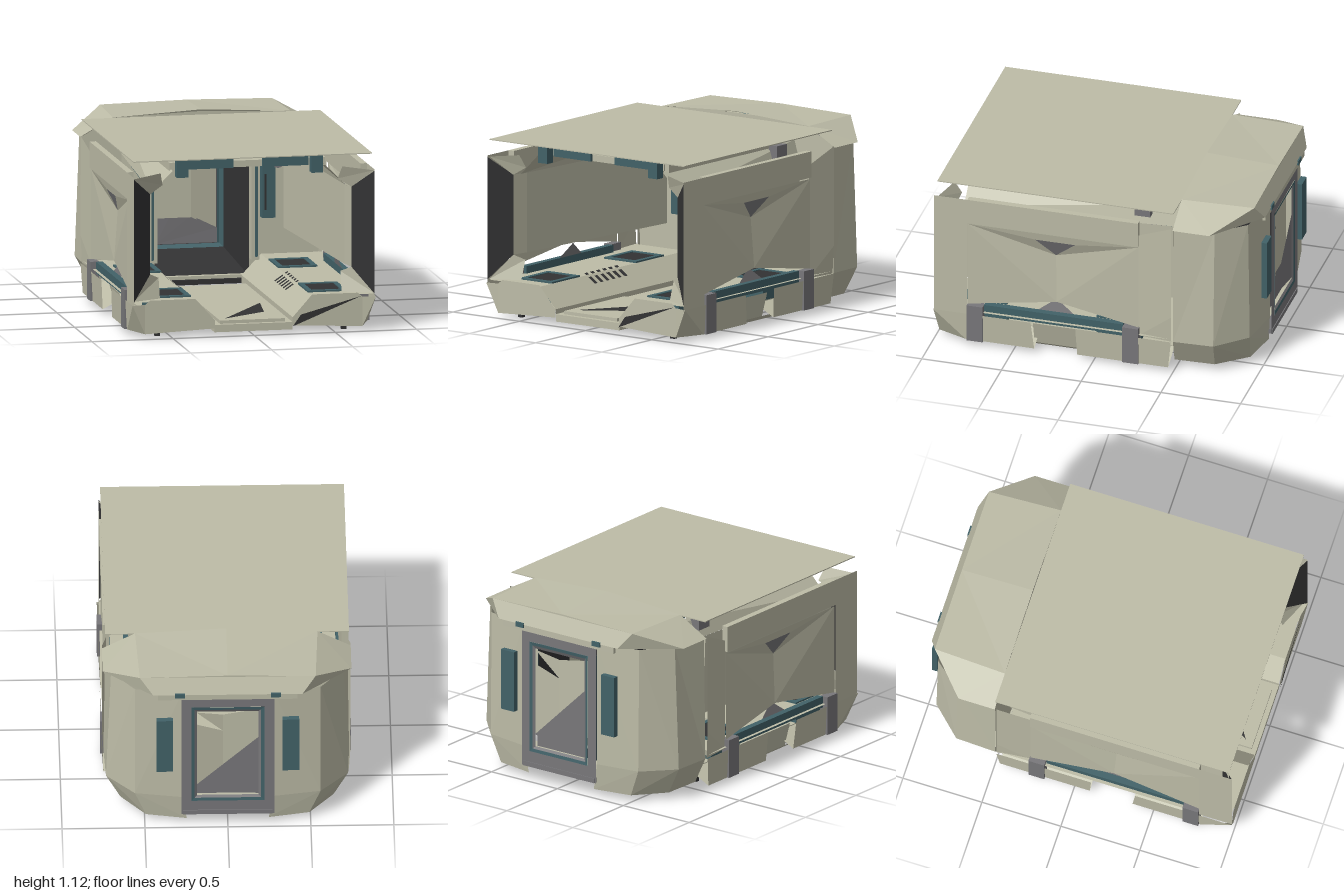
import * as THREE from 'three';

export function createModel() {
  const root = new THREE.Group();
  const paint = (name, color) => {
    const m = new THREE.MeshStandardMaterial({ color, side: THREE.DoubleSide, flatShading: true });
    m.name = name;
    return m;
  };
  const khaki = paint('khaki hull', 0xbdbca7);
  const grey = paint('grey metal', 0x78777a);
  const dark = paint('dark rubber', 0x323233);
  const teal = paint('teal trim', 0x426268);

  const add = (name, geo, mat) => {
    const mesh = new THREE.Mesh(geo, mat);
    mesh.name = name;
    root.add(mesh);
    return mesh;
  };
  const box = (name, mat, x0, x1, y0, y1, z0, z1) => {
    const m = add(name, new THREE.BoxGeometry(Math.abs(x1 - x0), y1 - y0, Math.abs(z1 - z0)), mat);
    m.position.set((x0 + x1) / 2, (y0 + y1) / 2, (z0 + z1) / 2);
    return m;
  };
  // Flat-shaded convex polygons, each split as a fan
  const facets = (name, mat, ...polys) => {
    const pos = [];
    for (const p of polys)
      for (let i = 1; i < p.length - 1; i++) pos.push(...p[0], ...p[i], ...p[i + 1]);
    const g = new THREE.BufferGeometry();
    g.setAttribute('position', new THREE.Float32BufferAttribute(pos, 3));
    g.computeVertexNormals();
    return add(name, g, mat);
  };
  // Strip joining two equally long rows of points
  const loft = (name, mat, a, b) =>
    facets(name, mat, ...a.slice(1).map((p, i) => [a[i], p, b[i + 1], b[i]]));
  // Ring between two rectangles [x0, x1, y0, y1, z]
  const ring = (name, mat, o, n) => {
    const c = ([x0, x1, y0, y1, z]) => [[x0, y0, z], [x1, y0, z], [x1, y1, z], [x0, y1, z], [x0, y0, z]];
    return loft(name, mat, c(o), c(n));
  };

  // Main roof and its beams
  box('roofPlate', khaki, -0.74, 0.73, 1.082, 1.088, -0.5, 0.98);
  box('roofSpine', khaki, -0.4, 0.4, 1.04, 1.07, -0.17, 0.65);
  for (const z of [-0.3, 0.1, 0.5, 0.78]) box('ceilingBeam', khaki, -0.45, 0.45, 1.0, 1.04, z - 0.03, z + 0.03);

  // Centre floor and front step
  box('floorPlank', khaki, -0.24, 0.24, 0.025, 0.07, -0.35, 0.98);
  box('floorStep', khaki, -0.2, 0.2, 0.07, 0.09, 0.35, 0.95);
  facets('stepInlay', dark, [[-0.16, 0.092, 0.9], [0.12, 0.092, 0.72], [0.16, 0.092, 0.42]]);

  // Ceiling console in front of the bulkhead
  facets('console', dark,
    [[-0.19, 0.97, -0.2], [0.19, 0.97, -0.2], [0.06, 0.79, -0.38], [-0.06, 0.79, -0.38]],
    [[-0.19, 0.97, -0.2], [-0.06, 0.79, -0.38], [-0.19, 0.97, -0.48]],
    [[0.19, 0.97, -0.2], [0.06, 0.79, -0.38], [0.19, 0.97, -0.48]]);
  box('consoleScreen', teal, -0.08, 0.08, 0.86, 0.95, -0.28, -0.2);

  // Rear door, passage and frames
  ring('passageFrame', dark, [-0.29, 0.29, 0.09, 0.93, -0.5], [-0.22, 0.22, 0.2, 0.87, -0.9]);
  ring('doorInnerTrim', teal, [-0.22, 0.22, 0.2, 0.87, -0.9], [-0.2, 0.2, 0.22, 0.85, -0.93]);
  ring('doorFrame', grey, [-0.28, 0.28, 0.09, 0.96, -0.985], [-0.22, 0.22, 0.19, 0.89, -0.985]);
  ring('doorTrim', teal, [-0.22, 0.22, 0.19, 0.89, -0.988], [-0.2, 0.2, 0.21, 0.87, -0.985]);
  ring('doorReveal', grey, [-0.2, 0.2, 0.21, 0.87, -0.985], [-0.185, 0.185, 0.225, 0.85, -0.975]);
  facets('doorLeaf', khaki,
    [[-0.19, 0.38, -0.94], [0.03, 0.38, -0.94], [0.03, 0.8, -0.94], [-0.19, 0.84, -0.94]],
    [[0.03, 0.38, -0.94], [0.19, 0.3, -0.97], [0.19, 0.75, -0.97], [0.03, 0.68, -0.94]],
    [[0.03, 0.68, -0.94], [0.19, 0.84, -0.97], [0.03, 0.8, -0.94]]);
  facets('doorFoot', grey,
    [[-0.19, 0.22, -0.95], [0.19, 0.22, -0.95], [0.19, 0.31, -0.95], [0.03, 0.39, -0.945], [-0.1, 0.39, -0.945]]);
  facets('doorWedge', grey, [[0.19, 0.3, -0.974], [-0.19, 0.23, -0.974], [-0.19, 0.66, -0.974]]);
  box('doorSill', grey, -0.27, 0.27, 0.09, 0.12, -0.99, -0.93);
  box('rearFloor', khaki, -0.28, 0.28, 0.08, 0.1, -0.93, -0.5);
  for (let i = 0; i < 3; i++) box('underRib', dark, -0.3, 0.3, 0.05, 0.08, -0.88 + i * 0.16, -0.8 + i * 0.16);

  // Rear cabin roof
  facets('cabinRoof', khaki,
    [[-0.55, 1.09, -0.5], [0, 1.12, -0.5], [0, 1.1, -0.95], [-0.53, 1.09, -0.95]],
    [[0.55, 1.09, -0.5], [0, 1.12, -0.5], [0, 1.1, -0.95], [0.53, 1.09, -0.95]],
    [[-0.53, 1.09, -0.95], [0, 1.1, -0.95], [0.53, 1.09, -0.95], [0.45, 0.99, -0.995], [-0.45, 0.99, -0.995]]);
  box('doorLintel', khaki, -0.42, 0.42, 0.95, 1.0, -0.99, -0.97);

  // Dark wedge on one front corner
  facets('frontWedge', dark, [[0.24, 0.045, 0.99], [0.66, 0.215, 0.99], [0.29, 0.115, 0.99]]);

  for (const s of [-1, 1]) {
    const P = (x, y, z) => [s * x, y, z];

    // Rear cabin side: roof slopes, chamfered wall, lower skirt, bulkhead
    facets('cabinRoofSide', khaki,
      [P(0.55, 1.09, -0.5), P(0.75, 0.98, -0.5), P(0.75, 0.98, -0.73), P(0.53, 1.09, -0.95)],
      [P(0.75, 0.98, -0.73), P(0.53, 1.09, -0.95), P(0.45, 0.99, -0.995)]);
    const foot = [[0.74, -0.5], [0.73, -0.75], [0.56, -0.93], [0.28, -0.975]];
    const head = [[0.73, -0.5], [0.7, -0.75], [0.56, -0.92], [0.28, -0.975]];
    loft('cabinWall', khaki, foot.map(([x, z]) => P(x, 0.21, z)), head.map(([x, z]) => P(x, 0.985, z)));
    loft('cabinSkirt', khaki, foot.map(([x, z]) => P(x, 0.21, z)),
      foot.map(([x, z]) => P(x * 0.88, 0.04, z + 0.015)));
    facets('cabinUnderside', khaki,
      [P(0.25, 0.07, -0.95), P(0.49, 0.04, -0.915), P(0.64, 0.04, -0.735), P(0.65, 0.04, -0.5), P(0.25, 0.07, -0.5)]);
    facets('bulkhead', khaki,
      [P(0.29, 0.09, -0.5), P(0.72, 0.2, -0.5), P(0.74, 0.98, -0.5), P(0.29, 0.93, -0.5)],
      [P(0.74, 0.98, -0.5), P(0.55, 1.09, -0.5), P(0, 1.11, -0.5), P(0, 0.93, -0.5), P(0.29, 0.93, -0.5)]);
    box('rearTealPanel', teal, s * 0.33, s * 0.43, 0.42, 0.8, -1, -0.965);
    box('rearRoofTab', teal, s * 0.26, s * 0.32, 0.97, 1.0, -1, -0.98);

    // Bulkhead fittings
    box('bulkheadColumn', khaki, s * 0.29, s * 0.34, 0.2, 0.93, -0.5, -0.42);
    box('columnTrim', teal, s * 0.312, s * 0.328, 0.22, 0.86, -0.42, -0.413);
    box('bulkheadTealPanel', teal, s * 0.36, s * 0.44, 0.45, 0.85, -0.5, -0.44);
    box('bulkheadLocker', dark, s * 0.375, s * 0.385, 0.5, 0.72, -0.44, -0.43);
    const lamp = add('lamp', new THREE.CylinderGeometry(0.045, 0.045, 0.06, 12), grey);
    lamp.rotation.x = Math.PI / 2;
    lamp.position.set(s * 0.42, 0.83, -0.3);
    box('cornerUnit', grey, s * 0.46, s * 0.54, 0.93, 1.01, -0.3, -0.2);

    // Front pillar with its dark bevelled mouth
    facets('frontPillar', khaki,
      [P(0.74, 0.2, 1), P(0.74, 0.99, 1), P(0.74, 0.99, 0.79), P(0.74, 0.2, 0.79)],
      [P(0.62, 0.38, 0.9), P(0.62, 0.87, 0.9), P(0.6, 0.87, 0.79), P(0.6, 0.38, 0.79)]);
    facets('frontMouth', dark,
      [P(0.74, 0.23, 1), P(0.74, 0.98, 1), P(0.62, 0.87, 0.9), P(0.62, 0.38, 0.9)]);
    facets('mouthCorner', khaki,
      [P(0.74, 0.98, 0.98), P(0.62, 0.87, 0.9), P(0.54, 0.92, 0.88), P(0.56, 1.0, 0.92)],
      [P(0.74, 0.23, 0.98), P(0.62, 0.38, 0.9), P(0.56, 0.35, 0.86), P(0.56, 0.23, 0.9)]);

    // Side wall: upper band, pinched panel and rear transition
    box('upperBand', khaki, s * 0.7, s * 0.74, 0.83, 0.99, -0.28, 0.79);
    facets('sidePanel', khaki,
      [P(0.73, 0.82, 0.79), P(0.73, 0.27, 0.79), P(0.7, 0.35, 0.24)],
      [P(0.73, 0.82, 0.79), P(0.7, 0.35, 0.24), P(0.68, 0.66, 0.25), P(0.72, 0.77, 0.37)],
      [P(0.73, 0.82, -0.28), P(0.73, 0.27, -0.28), P(0.7, 0.35, 0.24)],
      [P(0.73, 0.82, -0.28), P(0.7, 0.35, 0.24), P(0.68, 0.66, 0.25), P(0.72, 0.77, 0.12)],
      [P(0.73, 0.82, 0.79), P(0.72, 0.77, 0.37), P(0.72, 0.77, 0.12), P(0.73, 0.82, -0.28)]);
    facets('sideNotch', grey, [P(0.72, 0.77, 0.37), P(0.68, 0.66, 0.25), P(0.72, 0.77, 0.12)],
      [P(0.68, 0.27, 0.36), P(0.66, 0.35, 0.25), P(0.68, 0.27, 0.14)]);
    facets('sideTransition', khaki,
      [P(0.72, 0.21, -0.28), P(0.72, 0.9, -0.28), P(0.75, 0.38, -0.49)],
      [P(0.72, 0.9, -0.28), P(0.75, 0.99, -0.49), P(0.75, 0.38, -0.49)],
      [P(0.72, 0.21, -0.28), P(0.75, 0.38, -0.49), P(0.74, 0.21, -0.49)]);
    facets('innerWall', khaki,
      [P(0.6, 0.38, 0.79), P(0.6, 0.87, 0.79), P(0.5, 0.87, -0.48), P(0.5, 0.38, -0.48)],
      [P(0.6, 0.87, 0.85), P(0.47, 1.0, 0.85), P(0.46, 1.0, -0.48), P(0.5, 0.87, -0.48)]);

    // Roof edge posts and ceiling trim
    for (const z of [0.85, -0.36]) box('roofPost', teal, s * 0.38, s * 0.45, 0.96, 1.08, z - 0.03, z + 0.03);
    box('ceilingPanel', teal, s * 0.09, s * 0.37, 1.0, 1.06, 0.8, 0.83);
    box('roofRail', khaki, s * 0.44, s * 0.48, 0.99, 1.04, -0.3, 0.8);

    // Sponson: shelf, chamfered front, outer skirt, recess and posts
    const shelf = [[0.74, 0.225], [0.36, 0.225], [0.24, 0.1], [0.24, 0.05]];
    loft('sponsonShelf', khaki, shelf.map(([x, y]) => P(x, y, 0.98)), shelf.map(([x, y]) => P(x, y, -0.48)));
    for (let i = 0; i < 6; i++) {
      const z = 0.18 + i * 0.06;
      facets('shelfRib', dark, [P(0.38, 0.235, z), P(0.3, 0.18, z), P(0.3, 0.18, z + 0.03), P(0.38, 0.235, z + 0.03)]);
    }
    facets('sponsonFront', khaki,
      [P(0.67, 0.21, 0.985), P(0.64, 0.235, 0.985), P(0.36, 0.235, 0.985), P(0.24, 0.1, 0.985),
        P(0.24, 0.05, 0.985), P(0.67, 0.03, 0.985)],
      [P(0.67, 0.21, 0.985), P(0.75, 0.21, 1), P(0.67, 0.03, 0.985)],
      [P(0.75, 0.21, 1), P(0.74, 0.03, 0.8), P(0.67, 0.03, 0.985)]);
    for (const [a, b, c, d] of [[1, 0.39, 0.8, 0.37], [0.11, -0.49, 0.1, -0.47]])
      facets('sponsonSkirt', khaki,
        [P(0.75, 0.21, a), P(0.75, 0.21, b), P(0.74, 0.03, d), P(0.74, 0.03, c)],
        [P(0.74, 0.03, c), P(0.74, 0.03, d), P(0.6, 0.1, d), P(0.6, 0.1, c)]);
    facets('sponsonRecess', khaki,
      [P(0.7, 0.18, 0.39), P(0.7, 0.18, 0.11), P(0.66, 0.03, 0.11), P(0.66, 0.03, 0.39)],
      [P(0.66, 0.03, 0.58), P(0.66, 0.03, -0.1), P(0.62, 0, -0.05), P(0.62, 0, 0.53)]);
    box('tealSill', teal, s * 0.68, s * 0.72, 0.2, 0.27, -0.18, 0.69);
    for (const z of [0.74, -0.235]) box('sidePost', grey, s * 0.7, s * 0.755, 0.03, 0.27, z - 0.05, z + 0.05);

    // Underside with two hatch wells rising through the shelf
    const floor = new THREE.Shape([[0.25, -0.48], [0.6, -0.48], [0.6, 0.97], [0.25, 0.97]]
      .map(([x, z]) => new THREE.Vector2(s * x, z)));
    for (const z of [-0.12, 0.72]) {
      floor.holes.push(new THREE.Path([[0.38, z - 0.12], [0.58, z - 0.12], [0.58, z + 0.12], [0.38, z + 0.12]]
        .map(([x, w]) => new THREE.Vector2(s * x, w))));
      for (const x of [0.36, 0.57]) box('hatchSide', teal, s * x, s * (x + 0.03), 0.08, 0.235, z - 0.14, z + 0.14);
      for (const w of [-0.14, 0.11]) box('hatchEnd', teal, s * 0.39, s * 0.57, 0.08, 0.235, z + w, z + w + 0.03);
      box('hatchWell', dark, s * 0.39, s * 0.57, 0.14, 0.23, z - 0.11, z + 0.11);
    }
    const under = add('underside', new THREE.ExtrudeGeometry(floor, { depth: 0.015, bevelEnabled: false }), khaki);
    under.rotation.x = Math.PI / 2;
    under.position.y = 0.105;
    facets('keelFlap', khaki, [P(0.25, 0, 0.5), P(0.66, 0, 0.5), P(0.64, 0.04, 0.56), P(0.28, 0.04, 0.56)],
      [P(0.64, 0.04, 0.56), P(0.28, 0.04, 0.56), P(0.3, 0.1, 0.56), P(0.6, 0.1, 0.56)]);
    for (const z of [0.88, -0.38]) box('keelFoot', dark, s * 0.56, s * 0.59, 0, 0.1, z - 0.015, z + 0.015);
  }
  return root;
}
